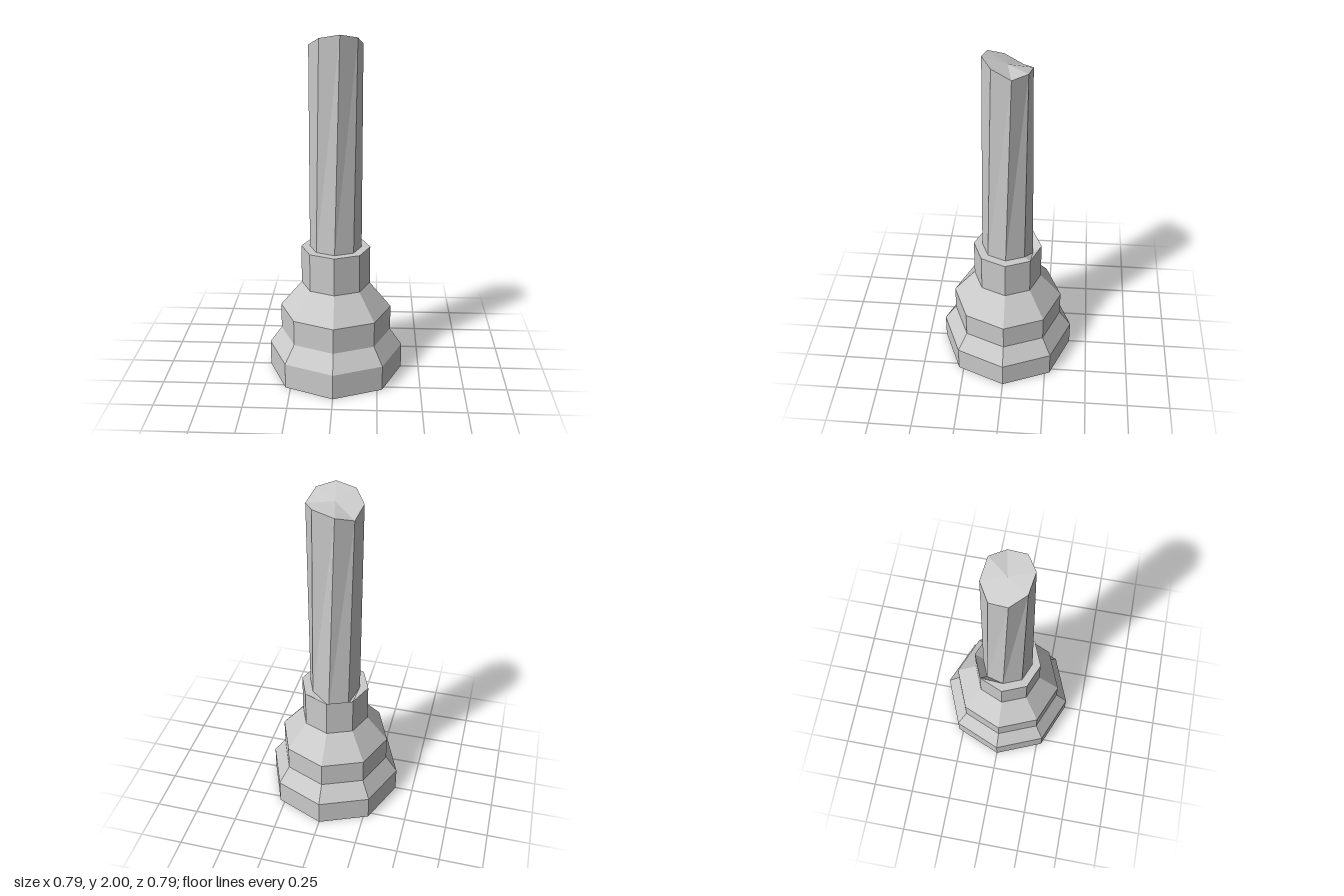
import * as THREE from 'three';

const SIDES = 8;

// Regular octagonal ring of points at height y, a corner on each axis
function ring(radius, y) {
  return Array.from({ length: SIDES }, (_, k) => {
    const a = (k * Math.PI * 2) / SIDES;
    return new THREE.Vector3(radius * Math.cos(a), y, radius * Math.sin(a));
  });
}

function centre(points) {
  return points.reduce((sum, p) => sum.add(p), new THREE.Vector3()).divideScalar(points.length);
}

// Skins a stack of rings, with optional caps at the ends
function loft(name, rings, { capBottom = false, capTop = false } = {}) {
  const points = [];
  const bottom = rings[0];
  const top = rings[rings.length - 1];
  for (let k = 0; k < SIDES; k++) {
    const n = (k + 1) % SIDES;
    for (let i = 0; i < rings.length - 1; i++) {
      const a = rings[i], b = rings[i + 1];
      points.push(a[n], a[k], b[k], a[n], b[k], b[n]);
    }
    if (capBottom) points.push(centre(bottom), bottom[k], bottom[n]);
    if (capTop) points.push(centre(top), top[n], top[k]);
  }
  const geometry = new THREE.BufferGeometry().setFromPoints(points);
  geometry.computeVertexNormals();
  const material = new THREE.MeshStandardMaterial({ color: 0xcccccc, flatShading: true });
  const mesh = new THREE.Mesh(geometry, material);
  mesh.name = name;
  return mesh;
}

export function createModel() {
  const group = new THREE.Group();
  group.name = 'steppedPost';

  // Seat where the shaft meets the collar, sunken at two rear corners
  const seat = ring(0.15, 0.775);
  seat[5].y = seat[6].y = 0.72;

  // Stepped base narrowing to a collar with an inward rim
  const profile = [[0.395, 0], [0.395, 0.15], [0.325, 0.25], [0.325, 0.4], [0.2, 0.55], [0.2, 0.775]];
  const baseRings = profile.map(([r, y]) => ring(r, y));
  group.add(loft('steppedBase', [...baseRings, seat], { capBottom: true }));

  // Twisted, slightly tapered shaft with an uneven slanted end
  const tip = [
    [0.148, 1.935, -0.03], [0.12, 1.98, 0.075], [0.027, 2, 0.13], [-0.085, 1.98, 0.112],
    [-0.146, 1.935, 0.03], [-0.12, 1.89, -0.073], [-0.03, 1.92, -0.13], [0.092, 1.945, -0.112],
  ].map((p) => new THREE.Vector3(...p));
  group.add(loft('shaft', [seat, tip], { capTop: true }));

  return group;
}
